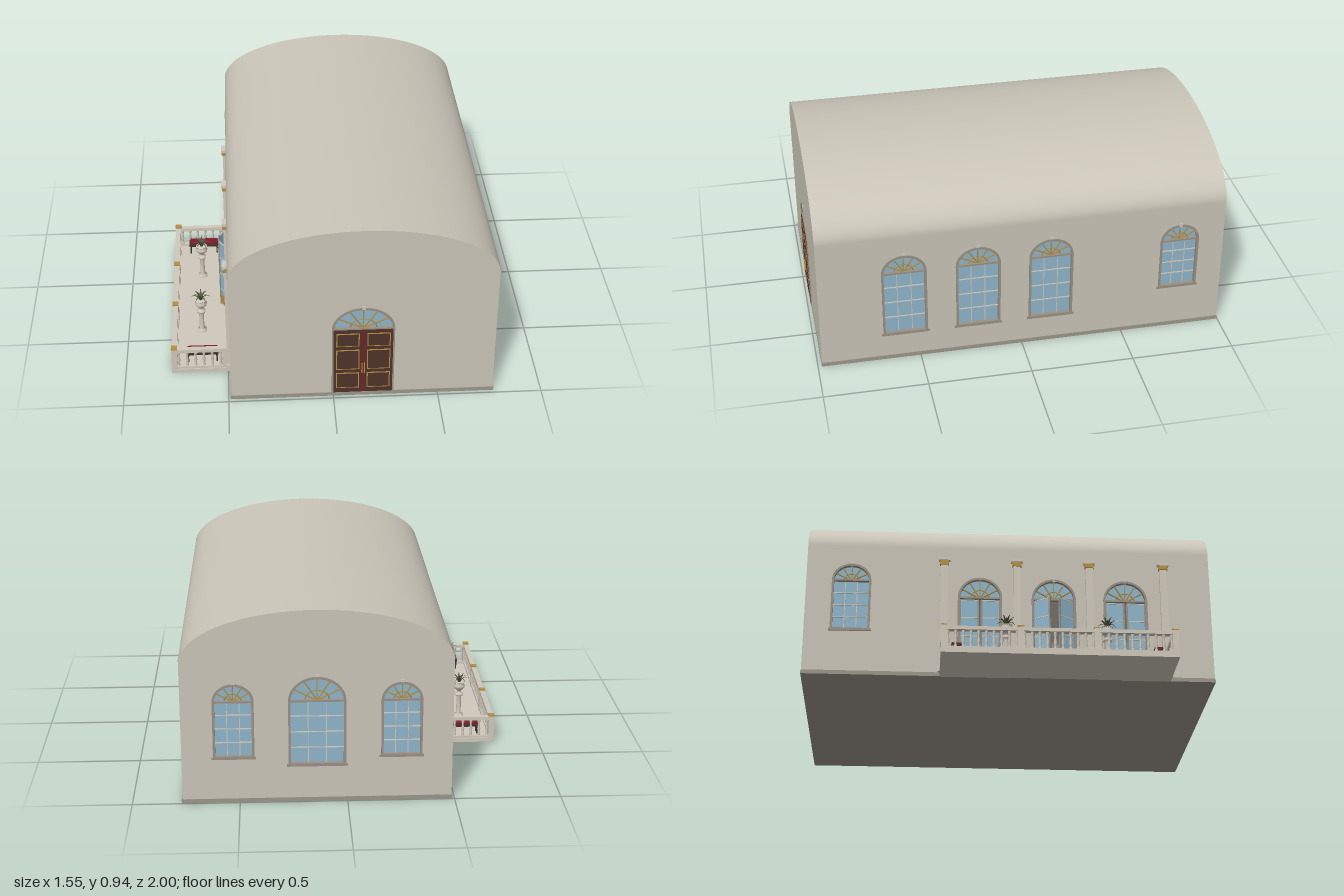
import * as THREE from 'three';

const mat = (name, color, opts = {}) => {
  const m = new THREE.MeshStandardMaterial({ color, ...opts });
  m.name = name;
  return m;
};
const wallM = mat('plaster', 0xcac5b8, { side: THREE.DoubleSide });
const stoneM = mat('plinth stone', 0x9c978b);
const trimM = mat('pale trim', 0xcfc8bb);
const frameM = mat('window frame', 0x9a9184);
const glassM = mat('glass', 0x8fb6cc, { side: THREE.DoubleSide });
const woodM = mat('dark wood', 0x4e3329);
const goldM = mat('gold', 0xb58f42);
const redM = mat('red cloth', 0x7d1c2e);
const ironM = mat('iron', 0x3b372f);
const leafM = mat('leaf', 0x55583f, { side: THREE.DoubleSide });

const CX = 0.14, HALF = 0.628, SPRING = 0.69, RISE = 0.25, ZF = 0.98, ZB = -0.995, T = 0.03;

function add(parent, name, geo, material, x = 0, y = 0, z = 0) {
  const m = new THREE.Mesh(geo, material);
  m.name = name;
  m.position.set(x, y, z);
  parent.add(m);
  return m;
}
const box = (p, name, m, w, h, d, x, y, z) => add(p, name, new THREE.BoxGeometry(w, h, d), m, x, y, z);
function group(parent, name, x = 0, y = 0, z = 0, ry = 0) {
  const g = new THREE.Group();
  g.name = name;
  g.position.set(x, y, z);
  g.rotation.y = ry;
  parent.add(g);
  return g;
}

// Round-headed outline, optionally grown outward by e
function arch(P, u, o, e = 0) {
  const p = new P(), r = o.w / 2 + e;
  p.moveTo(u - r, o.y0 - (o.door ? 0 : e));
  p.lineTo(u + r, o.y0 - (o.door ? 0 : e));
  p.lineTo(u + r, o.ys);
  p.absellipse(u, o.ys, r, o.h + e, 0, Math.PI, false, 0);
  p.closePath();
  return p;
}
const slab = (shape, depth) => new THREE.ExtrudeGeometry(shape, { depth, bevelEnabled: false, curveSegments: 16 });

// Gold spokes and half ring in the arched head
function fanlight(g, o) {
  const R = o.w / 2, n = 6;
  for (let k = 1; k < n; k++) {
    const a = (k * Math.PI) / n, x = R * Math.cos(a), y = o.h * Math.sin(a), len = Math.hypot(x, y);
    const s = box(g, 'fanSpoke', goldM, len, 0.005, 0.006, x / 2, o.ys + y / 2, -0.009);
    s.rotation.z = Math.atan2(y, x);
  }
  const ring = add(g, 'fanRing', new THREE.TorusGeometry(R * 0.45, 0.0025, 4, 16, Math.PI), goldM, 0, o.ys, -0.009);
  ring.scale.y = o.h / R;
}

// Surround, transom and glazed head shared by windows and doors
function surround(g, o) {
  const s = arch(THREE.Shape, 0, o, 0.008);
  s.holes.push(arch(THREE.Path, 0, o, -0.003));
  add(g, 'surround', slab(s, 0.019), frameM, 0, 0, -0.014);
  box(g, 'transom', frameM, o.w, 0.009, 0.016, 0, o.ys, -0.006);
  box(g, 'keystone', trimM, 0.016, 0.022, 0.008, 0, o.ys + o.h + 0.007, 0.001);
  const head = new THREE.Shape();
  head.absellipse(0, o.ys, o.w / 2, o.h, 0, Math.PI, false, 0);
  head.closePath();
  add(g, 'headGlass', new THREE.ShapeGeometry(head, 16), glassM, 0, 0, -0.013);
  fanlight(g, o);
}

function windowUnit(g, o) {
  surround(g, o);
  const H = o.ys - o.y0, yc = (o.ys + o.y0) / 2;
  box(g, 'pane', glassM, o.w, H, 0.004, 0, yc, -0.015);
  for (const k of [-1, 1]) box(g, 'mullion', trimM, 0.004, H, 0.005, (k * o.w) / 6, yc, -0.011);
  for (let k = 1; k < 4; k++) box(g, 'glazingBar', trimM, o.w, 0.004, 0.005, 0, o.y0 + (H * k) / 4, -0.011);
  box(g, 'sill', frameM, o.w + 0.03, 0.012, 0.02, 0, o.y0 - 0.006, -0.004);
}

// Glazed door leaf running from its hinge in direction s
function glazedLeaf(g, o, s, angle) {
  const W = o.w / 2 - 0.004, H = o.ys - o.y0 - 0.01, yb = o.y0 + 0.003;
  const leaf = group(g, 'glazedLeaf', (-s * o.w) / 2, 0, -0.008, -s * angle);
  box(leaf, 'leafGlass', glassM, W, H, 0.003, (s * W) / 2, yb + H / 2, 0);
  for (const x of [0.004, W - 0.004]) box(leaf, 'stile', frameM, 0.008, H, 0.008, s * x, yb + H / 2, 0);
  for (const f of [0.01, 0.25, 0.5, 0.75, 0.99]) box(leaf, 'leafBar', trimM, W, 0.005, 0.007, (s * W) / 2, yb + H * f, 0);
  box(leaf, 'kickPanel', goldM, W - 0.016, 0.055, 0.006, (s * W) / 2, yb + 0.035, 0);
}
function gardenDoor(g, o) {
  surround(g, o);
  for (const s of [-1, 1]) glazedLeaf(g, o, s, o.open ? 0.6 : 0);
}

function entrance(g, o) {
  surround(g, o);
  const W = o.w / 2 - 0.006;
  for (const s of [-1, 1]) {
    const x = s * (W / 2 + 0.006);
    box(g, 'doorLeaf', woodM, W, o.ys - o.y0 - 0.004, 0.018, x, (o.ys + o.y0) / 2, -0.003);
    for (const [a, b] of [[0.05, 0.14], [0.16, 0.275], [0.295, 0.37]]) {
      box(g, 'panelMoulding', goldM, 0.11, b - a, 0.004, x, (a + b) / 2, 0.006);
      box(g, 'panel', woodM, 0.1, b - a - 0.01, 0.006, x, (a + b) / 2, 0.006);
    }
    box(g, 'handle', goldM, 0.005, 0.055, 0.008, s * 0.006, 0.17, 0.012);
  }
  box(g, 'redStrip', redM, 0.012, o.ys - o.y0 - 0.004, 0.008, 0, (o.ys + o.y0) / 2, 0);
}

// Wall with its openings; local x runs along the wall and local z points outward
function wall(root, name, shape, x, z, ry, openings) {
  const g = group(root, name, x, 0, z, ry);
  for (const o of openings) shape.holes.push(arch(THREE.Path, o.u, o));
  add(g, name + 'Panel', slab(shape, T), wallM, 0, 0, -T);
  for (const o of openings) o.build(group(g, 'opening', o.u), o);
}
function gable() {
  const s = new THREE.Shape(), r = HALF - 0.002;
  s.moveTo(-r, 0.01);
  s.lineTo(r, 0.01);
  s.lineTo(r, SPRING);
  s.absellipse(0, SPRING, r, RISE - 0.002, 0, Math.PI, false, 0);
  s.closePath();
  return s;
}
function sideRect(a, b) {
  return new THREE.Shape([[a, 0.01], [b, 0.01], [b, SPRING], [a, SPRING]].map(p => new THREE.Vector2(...p)));
}

// Footed urn on a slim stand with arching leaves
function urn(root, x, z) {
  const g = group(root, 'urnPlanter', x, 0, z);
  const pts = [[0.024, 0.02], [0.024, 0.03], [0.012, 0.036], [0.012, 0.13], [0.022, 0.136], [0.022, 0.144], [0.009, 0.152],
    [0.012, 0.162], [0.028, 0.178], [0.03, 0.19], [0.022, 0.2], [0.029, 0.208], [0, 0.208]];
  add(g, 'urn', new THREE.LatheGeometry(pts.map(p => new THREE.Vector2(...p)), 14), trimM);
  for (let k = 0; k < 12; k++) {
    const geo = new THREE.PlaneGeometry(0.014, 1, 2, 5), p = geo.attributes.position, R = k % 2 ? 0.052 : 0.036;
    for (let i = 0; i < p.count; i++) {
      const t = p.getY(i) + 0.5;
      p.setXYZ(i, p.getX(i) * (1.05 - t), 0.205 + 0.1 * t - (k % 2 ? 0.085 : 0.055) * t * t, R * t);
    }
    geo.computeVertexNormals();
    add(g, 'leaf', geo, leafM).rotation.y = (k * Math.PI) / 6;
  }
}

const balusterGeo = new THREE.LatheGeometry([[0.007, 0], [0.007, 0.01], [0.004, 0.016], [0.008, 0.034], [0.004, 0.06],
  [0.007, 0.07], [0.007, 0.085]].map(p => new THREE.Vector2(...p)), 8);

// Balustrade bay between two ground points
function bay(root, x1, z1, x2, z2, n) {
  const L = Math.hypot(x2 - x1, z2 - z1);
  const g = group(root, 'balustradeBay', x1, 0, z1, Math.atan2(-(z2 - z1), x2 - x1));
  box(g, 'bottomRail', trimM, L, 0.012, 0.022, L / 2, 0.027, 0);
  box(g, 'topRail', trimM, L, 0.018, 0.026, L / 2, 0.126, 0);
  for (let i = 0; i < n; i++) add(g, 'baluster', balusterGeo, trimM, (L * (i + 0.5)) / n, 0.032, 0);
}

export function createModel() {
  const root = new THREE.Group();
  root.name = 'hall';
  const zc = (ZF + ZB) / 2, len = ZF - ZB;

  // Hall plinth and vaulted roof
  box(root, 'plinth', stoneM, HALF * 2 + 0.006, 0.02, len + 0.004, CX, 0.01, zc);
  const roof = new THREE.CylinderGeometry(1, 1, len, 64, 1, true, Math.PI / 2, Math.PI);
  roof.rotateX(Math.PI / 2).scale(HALF, RISE, 1);
  add(root, 'vaultedRoof', roof, wallM, CX, SPRING, zc);

  // Walls with windows and doors
  const tall = { w: 0.2, y0: 0.15, ys: 0.49, h: 0.09, build: windowUnit };
  const small = { w: 0.175, y0: 0.24, ys: 0.5, h: 0.08, build: windowUnit };
  const french = { w: 0.2, y0: 0.021, ys: 0.42, h: 0.1, door: true, build: gardenDoor };
  wall(root, 'rightWall', sideRect(-ZF + T, -ZB - T), CX + HALF, 0, Math.PI / 2,
    [...[0.57, 0.215, -0.14].map(z => ({ ...tall, u: -z })), { ...small, u: 0.775 }]);
  wall(root, 'terraceWall', sideRect(ZB + T, ZF - T), CX - HALF, 0, -Math.PI / 2,
    [{ ...small, u: -0.775 }, ...[-0.15, 0.21, 0.56].map((z, i) => ({ ...french, u: z, open: i === 1 }))]);
  wall(root, 'frontWall', gable(), CX, ZF, 0,
    [{ u: 0, w: 0.28, y0: 0.021, ys: 0.39, h: 0.115, door: true, build: entrance }]);
  wall(root, 'backWall', gable(), CX, ZB, Math.PI,
    [{ ...small, u: -0.385, y0: 0.23 }, { ...small, u: 0.39, y0: 0.23 },
      { u: 0, w: 0.25, y0: 0.19, ys: 0.5, h: 0.11, build: windowUnit }]);

  // Terrace floor and pilasters
  box(root, 'terraceFloor', trimM, 0.29, 0.02, 1.105, -0.63, 0.01, 0.2125);
  const bays = [-0.325, 0.03, 0.385, 0.75];
  for (const z of bays) {
    box(root, 'pilaster', trimM, 0.018, 0.58, 0.036, -0.496, 0.31, z);
    box(root, 'pilasterBase', trimM, 0.024, 0.025, 0.05, -0.498, 0.032, z);
    box(root, 'capital', goldM, 0.024, 0.022, 0.044, -0.498, 0.601, z);
    box(root, 'capitalSlab', trimM, 0.03, 0.014, 0.056, -0.498, 0.619, z);
  }

  // Balustrade round the terrace
  const X = -0.76;
  bays.forEach((z, i) => {
    box(root, 'balustradePost', trimM, 0.028, 0.118, 0.028, X, 0.079, z);
    box(root, 'postCap', goldM, 0.03, 0.006, 0.03, X, 0.141, z);
    if (i) bay(root, X, bays[i - 1], X, z, 10);
  });
  for (const z of [bays[0], bays[3]]) {
    box(root, 'wallPost', trimM, 0.024, 0.118, 0.028, -0.515, 0.079, z);
    bay(root, X, z, -0.515, z, 6);
  }

  // Benches and planters
  for (const z of [-0.265, 0.685]) {
    const g = group(root, 'bench', -0.625, 0, z);
    box(g, 'benchFrame', ironM, 0.155, 0.01, 0.054, 0, 0.068, 0);
    box(g, 'cushion', redM, 0.146, 0.012, 0.046, 0, 0.078, 0);
    for (const sx of [-1, 1]) for (const sz of [-1, 1]) box(g, 'benchLeg', ironM, 0.007, 0.046, 0.007, sx * 0.07, 0.042, sz * 0.022);
  }
  for (const z of [-0.03, 0.45]) urn(root, -0.63, z);
  return root;
}
